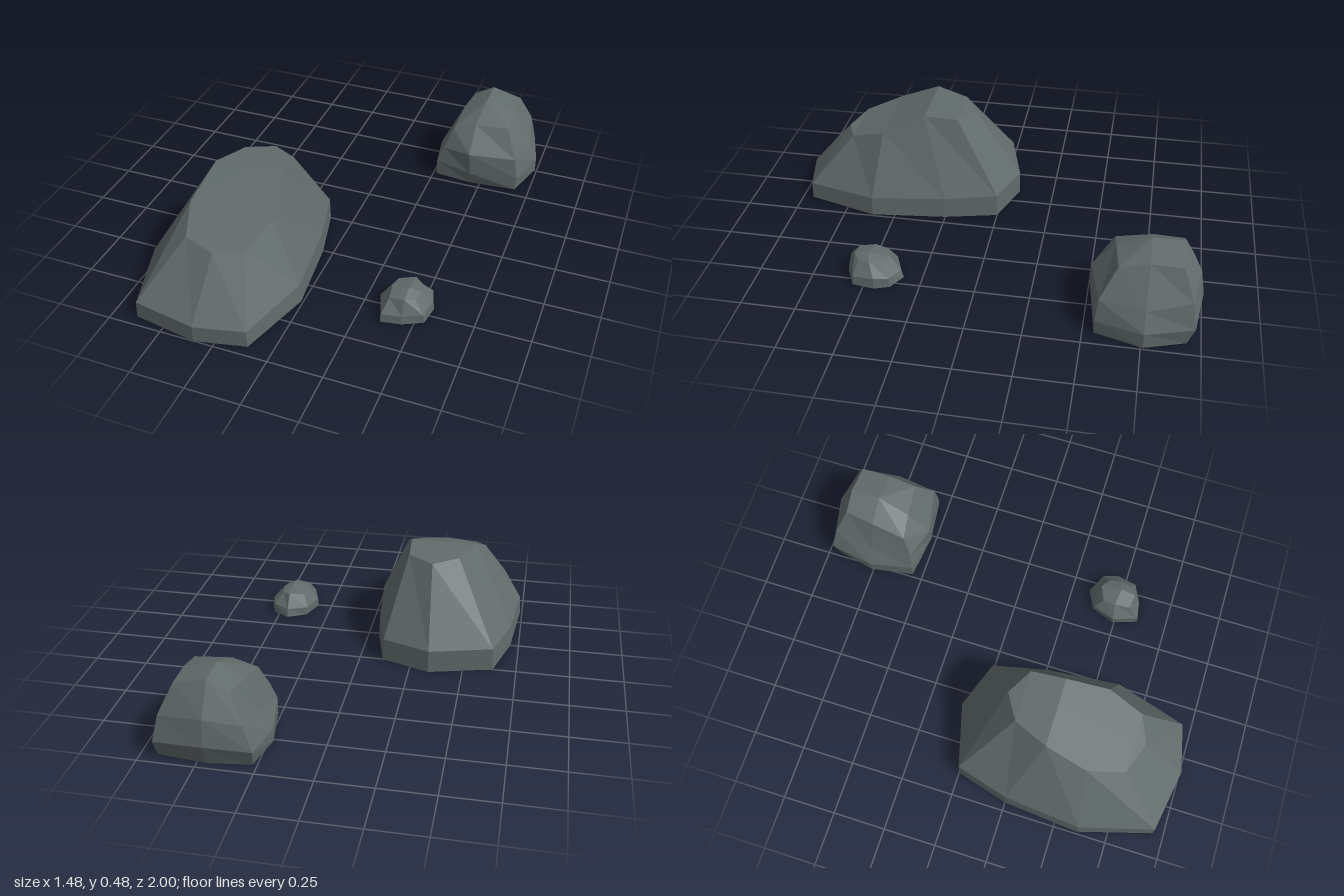
import * as THREE from 'three';

// Joins rings of [x, y, z] points, from the ground up to the roof, into one faceted stone.
// Every ring runs clockwise as seen from above, starting at the back left corner.
function stone(name, rings, material) {
  const positions = [];
  const [a, b, c] = [0, 1, 2].map(() => new THREE.Vector3());
  const tri = new THREE.Triangle(a, b, c);
  const add = (p, q, r) => {
    a.set(...p); b.set(...q); c.set(...r);
    if (tri.getArea() > 1e-7) positions.push(...p, ...q, ...r);
  };
  const n = rings[0].length;
  const base = rings[0];
  const centre = [0, 1, 2].map((k) => base.reduce((sum, p) => sum + p[k], 0) / n);
  for (let i = 0; i < n; i++) {
    const j = (i + 1) % n;
    add(centre, base[i], base[j]);
    for (let r = 0; r < rings.length - 1; r++) {
      const low = rings[r], high = rings[r + 1];
      add(low[i], high[i], high[j]);
      add(low[i], high[j], low[j]);
    }
  }
  const geometry = new THREE.BufferGeometry();
  geometry.setAttribute('position', new THREE.Float32BufferAttribute(positions, 3));
  geometry.computeVertexNormals();
  const mesh = new THREE.Mesh(geometry, material);
  mesh.name = name;
  return mesh;
}

export function createModel() {
  const group = new THREE.Group();
  group.name = 'rocks';
  const material = new THREE.MeshStandardMaterial({ color: 0x626b6b, flatShading: true });

  // Large boulder: near-vertical foot, sloping sides, ridged roof falling to the front
  const foot = [
    [-0.64, 0, 0], [-0.34, 0, -0.08], [-0.11, 0, 0], [-0.05, 0, 0.25], [-0.01, 0, 0.61],
    [-0.11, 0, 0.95], [-0.34, 0, 1], [-0.64, 0, 0.95], [-0.74, 0, 0.61], [-0.71, 0, 0.25],
  ];
  const shoulder = foot.map(([x, , z]) => [-0.36 + (x + 0.36) * 0.985, 0.11 - 0.03 * Math.max(z, 0), z]);
  const rim = [
    [-0.44, 0.47, 0.21], [-0.32, 0.46, 0.14], [-0.2, 0.47, 0.21], [-0.19, 0.48, 0.37], [-0.15, 0.39, 0.57],
    [-0.2, 0.33, 0.74], [-0.33, 0.32, 0.79], [-0.48, 0.33, 0.74], [-0.54, 0.39, 0.57], [-0.51, 0.48, 0.37],
  ];
  const ridge = rim.map(([, y, z]) => [-0.32, y, z]);
  group.add(stone('largeBoulder', [foot, shoulder, rim, ridge], material));

  // Medium boulder: rounded block with a bulging waist
  group.add(stone('mediumBoulder', [
    [[0.27, 0, -0.94], [0.46, 0, -0.965], [0.68, 0, -0.94], [0.74, 0, -0.76],
      [0.68, 0, -0.55], [0.45, 0, -0.53], [0.265, 0, -0.55], [0.23, 0, -0.76]],
    [[0.26, 0.08, -0.97], [0.46, 0.1, -1], [0.685, 0.08, -0.97], [0.74, 0.07, -0.76],
      [0.685, 0.07, -0.55], [0.45, 0.07, -0.51], [0.265, 0.08, -0.55], [0.23, 0.06, -0.76]],
    [[0.3, 0.19, -0.95], [0.46, 0.22, -0.98], [0.66, 0.2, -0.95], [0.7, 0.16, -0.76],
      [0.665, 0.17, -0.56], [0.44, 0.18, -0.51], [0.295, 0.16, -0.56], [0.28, 0.15, -0.76]],
    [[0.36, 0.31, -0.9], [0.455, 0.365, -0.9], [0.6, 0.33, -0.9], [0.6, 0.33, -0.76],
      [0.6, 0.3, -0.63], [0.44, 0.3, -0.61], [0.33, 0.26, -0.6], [0.34, 0.3, -0.76]],
    Array(8).fill([0.455, 0.365, -0.76]),
  ], material));

  // Small stone: low dome
  group.add(stone('smallStone', [
    [[0.36, 0, 0.38], [0.45, 0, 0.335], [0.53, 0, 0.38], [0.555, 0, 0.45],
      [0.54, 0, 0.55], [0.45, 0, 0.595], [0.36, 0, 0.61], [0.32, 0, 0.49]],
    [[0.355, 0.04, 0.385], [0.45, 0.04, 0.345], [0.53, 0.045, 0.385], [0.55, 0.05, 0.45],
      [0.535, 0.04, 0.55], [0.45, 0.04, 0.59], [0.36, 0.04, 0.605], [0.32, 0.045, 0.49]],
    [[0.38, 0.1, 0.42], [0.45, 0.105, 0.39], [0.49, 0.1, 0.42], [0.5, 0.105, 0.48],
      [0.49, 0.1, 0.53], [0.45, 0.11, 0.56], [0.38, 0.1, 0.555], [0.37, 0.11, 0.48]],
    Array(8).fill([0.45, 0.125, 0.49]),
  ], material));

  return group;
}
